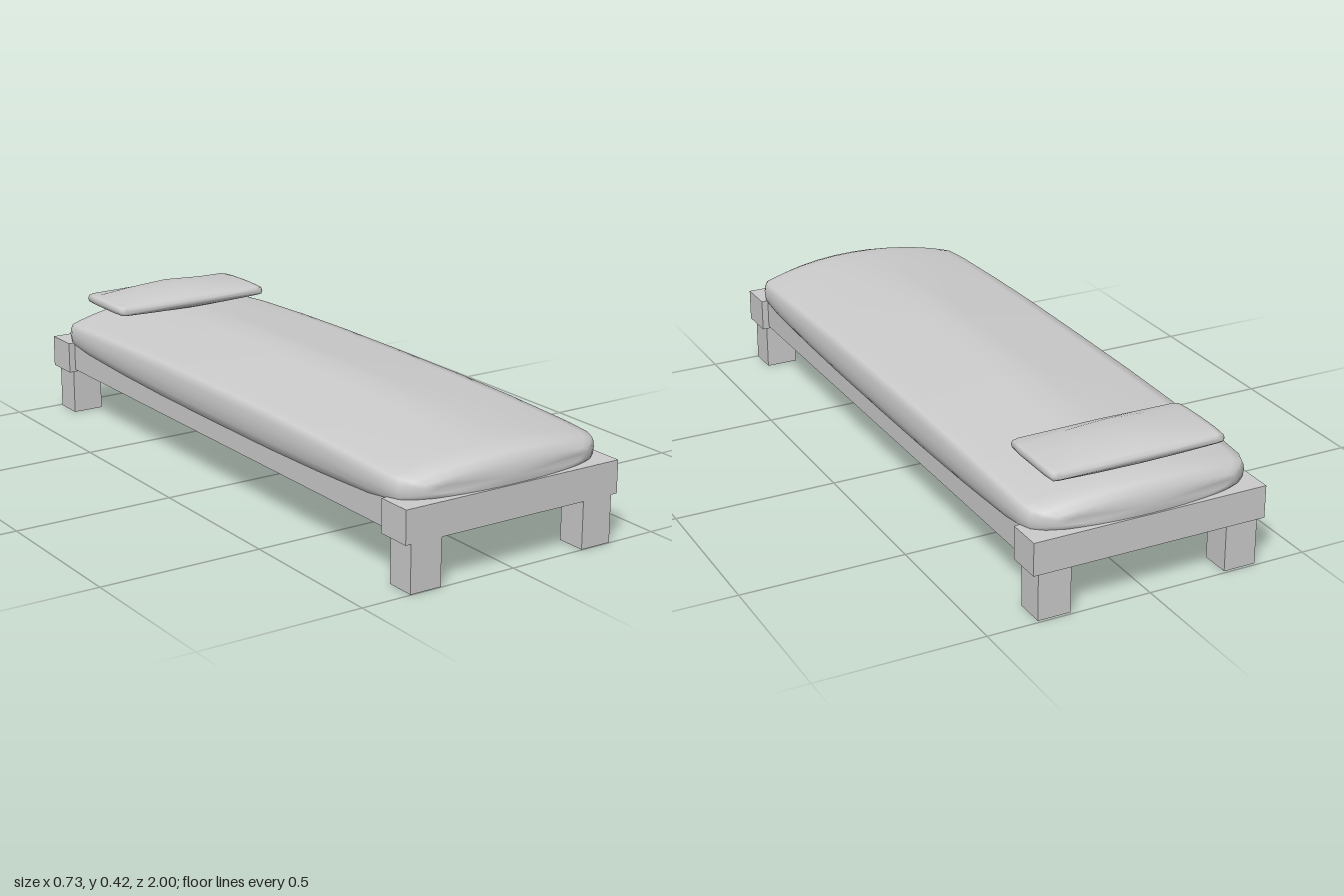
import * as THREE from 'three';

const material = new THREE.MeshStandardMaterial({ color: 0xcccccc });

function box(name, x0, x1, y0, y1, z0, z1) {
  const mesh = new THREE.Mesh(new THREE.BoxGeometry(x1 - x0, y1 - y0, z1 - z0), material);
  mesh.position.set((x0 + x1) / 2, (y0 + y1) / 2, (z0 + z1) / 2);
  mesh.name = name;
  return mesh;
}

// Skin a closed surface over mirrored half sections, ordered along +z.
// Each half section runs from the top centre, round the +x side, to the bottom centre.
function loft(name, sections) {
  const pos = [], index = [];
  const n = (sections[0].length - 1) * 2;
  for (const half of sections) {
    const left = half.slice(1, -1).map(([x, y, z]) => [-x, y, z]);
    const ring = [...half.slice().reverse(), ...left];
    ring.forEach((p) => pos.push(...p));
  }
  const last = sections.length - 1;
  for (let i = 0; i < last; i++) {
    for (let j = 0; j < n; j++) {
      const a = i * n + j, b = i * n + (j + 1) % n;
      index.push(a, b, b + n, a, b + n, a + n);
    }
  }
  // End caps
  for (const i of [0, last]) {
    const s = sections[i], top = s[0], bottom = s[s.length - 1];
    const c = pos.length / 3;
    pos.push(0, (top[1] + bottom[1]) / 2, top[2]);
    for (let j = 0; j < n; j++) {
      const a = i * n + j, b = i * n + (j + 1) % n;
      if (i === 0) index.push(c, b, a);
      else index.push(c, a, b);
    }
  }
  const geometry = new THREE.BufferGeometry();
  geometry.setAttribute('position', new THREE.Float32BufferAttribute(pos, 3));
  geometry.setIndex(index);
  geometry.computeVertexNormals();
  const mesh = new THREE.Mesh(geometry, material);
  mesh.name = name;
  return mesh;
}

// Mattress section, domed alike above and below its mid height:
// half width w, top centre t, shoulder s, dome power p, end bulge
function mattressSection([z, w, t, s, p, bulge]) {
  const mid = 0.265;
  const upper = [0, 0.2, 0.4, 0.6, 0.75, 0.88, 0.97].map((f) => [f * w, t - (t - s) * (f / 0.97) ** p]);
  upper.push([0.992 * w, mid + (s - mid) * 0.55]);
  const lower = upper.map(([x, y]) => [x, 2 * mid - y]).reverse();
  return [...upper, [w, mid], ...lower]
    .map(([x, y]) => [x, y, z - Math.sign(z) * bulge * (x / w) ** 2]);
}

// Pillow section: half width w, top centre t, rim between r1 and r0, bottom b
function pillowSection([z, w, t, r1, r0, b]) {
  return [
    [0, t], [0.48 * w, t - 0.36 * (t - r1)], [0.92 * w, r1 + 0.002], [0.985 * w, r1 - 0.002],
    [w, (r0 + r1) / 2], [0.985 * w, r0 + 0.002], [0.92 * w, r0],
    [0.48 * w, b + 0.3 * (r0 - b)], [0, b],
  ].map(([x, y]) => [x, y, z]);
}

export function createModel() {
  const bed = new THREE.Group();
  bed.name = 'bed';

  // Frame: thick end rails, slightly narrower side rails
  const frame = new THREE.Group();
  frame.name = 'frame';
  for (const s of [-1, 1]) {
    const end = box(s > 0 ? 'frontRail' : 'backRail', -0.363, 0.363, 0.143, 0.242, 0.89, 1);
    end.position.z *= s;
    const side = box(s > 0 ? 'leftRail' : 'rightRail', 0.25, 0.342, 0.15, 0.24, -0.89, 0.89);
    side.position.x *= s;
    frame.add(end, side);

    // Legs
    for (const e of [-1, 1]) {
      const leg = box(e > 0 ? 'frontLeg' : 'backLeg', 0.244, 0.344, 0, 0.143, 0.903, 0.995);
      leg.position.x *= s;
      leg.position.z = leg.position.z * e + 0.003;
      frame.add(leg);
    }
  }
  bed.add(frame);

  // Mattress: sections from the middle to one end, mirrored to the other
  const halfMattress = [
    [0.3, 0.353, 0.367, 0.32, 1, 0],
    [0.55, 0.353, 0.357, 0.315, 1.2, 0],
    [0.8, 0.352, 0.346, 0.306, 1.7, 0],
    [0.9, 0.349, 0.342, 0.3, 2, 0.005],
    [0.945, 0.338, 0.338, 0.296, 2.2, 0.02],
    [0.975, 0.315, 0.328, 0.29, 2.2, 0.03],
    [0.99, 0.285, 0.308, 0.282, 2.2, 0.025],
    [0.996, 0.25, 0.285, 0.273, 2.2, 0.02],
  ];
  const mirrored = halfMattress.map(([z, ...rest]) => [-z, ...rest]).reverse();
  const middle = [0, 0.353, 0.368, 0.321, 1, 0];
  bed.add(loft('mattress', [...mirrored, middle, ...halfMattress].map(mattressSection)));

  // Pillow
  const pillow = [
    [-0.932, 0.258, 0.384, 0.382, 0.37, 0.368],
    [-0.924, 0.269, 0.394, 0.389, 0.364, 0.359],
    [-0.88, 0.272, 0.413, 0.391, 0.363, 0.343],
    [-0.809, 0.272, 0.418, 0.392, 0.363, 0.338],
    [-0.738, 0.272, 0.413, 0.391, 0.363, 0.343],
    [-0.694, 0.269, 0.394, 0.389, 0.364, 0.359],
    [-0.686, 0.258, 0.384, 0.382, 0.37, 0.368],
  ];
  bed.add(loft('pillow', pillow.map(pillowSection)));

  return bed;
}
